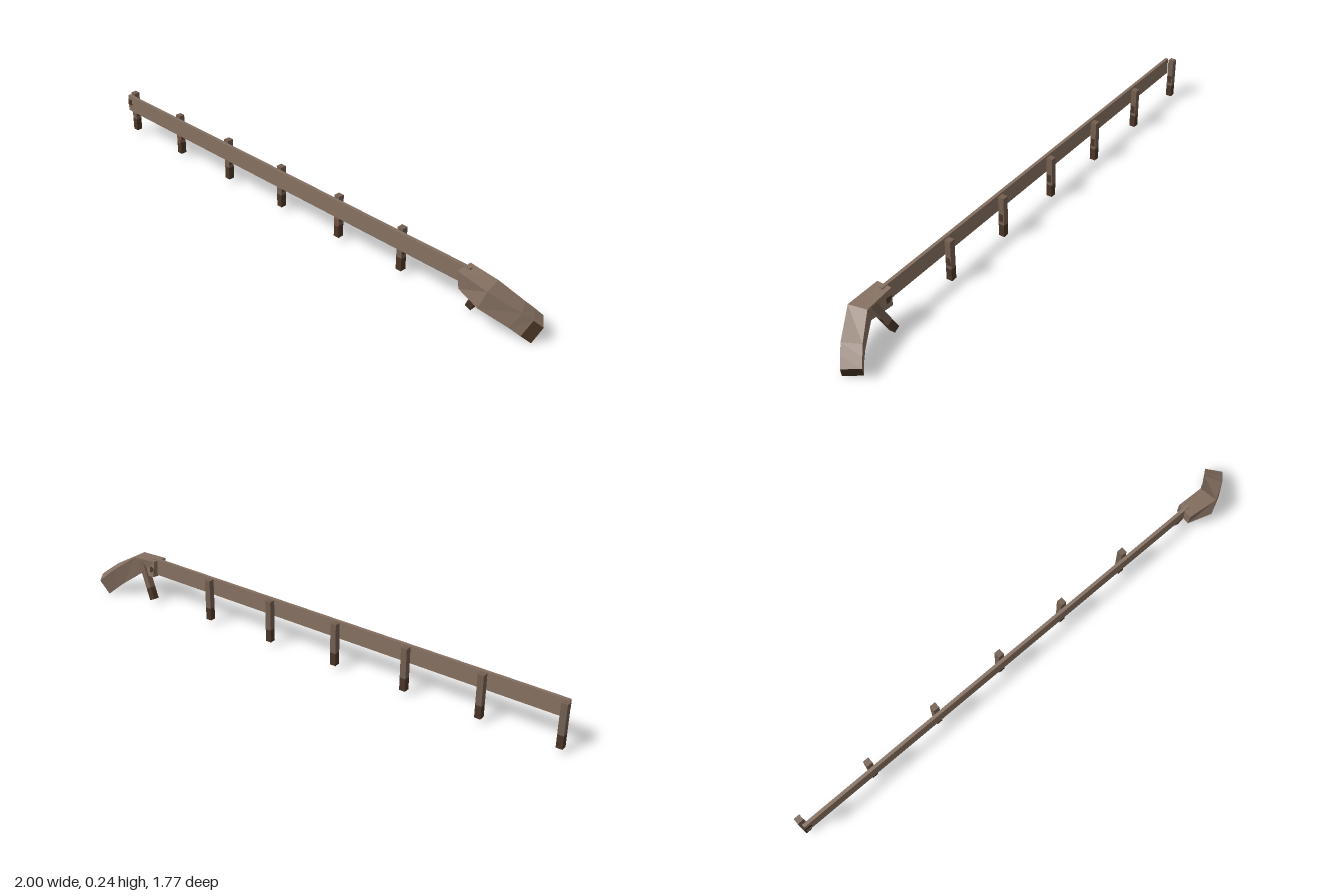
import * as THREE from 'three';

const steel = new THREE.MeshStandardMaterial({ color: 0x857061 });
steel.name = 'weathered steel';
const postSteel = new THREE.MeshStandardMaterial({ color: 0x735e50 });
postSteel.name = 'post steel';
const rust = new THREE.MeshStandardMaterial({ color: 0x4a3526 });
rust.name = 'dark rust';
const redRust = new THREE.MeshStandardMaterial({ color: 0x7a4a38 });
redRust.name = 'red rust';

const YAW = -Math.atan2(0.674, 0.739); // the fence runs diagonally

function box(name, w, h, d, material, x, y, z, parent) {
  const mesh = new THREE.Mesh(new THREE.BoxGeometry(w, h, d), material);
  mesh.name = name;
  mesh.position.set(x, y, z);
  parent.add(mesh);
  return mesh;
}

// Square post with a rusted foot, origin at its base
function makePost(name, height, w, redPatch) {
  const post = new THREE.Group();
  post.name = name;
  const foot = height * 0.3;
  box('postShaft', w, height - foot, w, postSteel, 0, (height + foot) / 2, 0, post);
  box('postFoot', w, foot, w, rust, 0, foot / 2, 0, post);
  box('rustPatch', 0.004, 0.04, w * 0.7, rust, w / 2, height * 0.48, 0, post);
  if (redPatch) box('redRustPatch', w * 0.6, 0.035, 0.004, redRust, 0, height * 0.35, w / 2, post);
  return post;
}

// Bent box beam through rings of [centre, up, side]; each side can have its own material
function bentBeam(rings, materialAt) {
  const corners = rings.map(([c, u, s]) =>
    [[1, -1], [1, 1], [-1, 1], [-1, -1]].map(([a, b]) =>
      new THREE.Vector3(...c)
        .addScaledVector(new THREE.Vector3(...u), a)
        .addScaledVector(new THREE.Vector3(...s), b)));
  const points = [];
  const geometry = new THREE.BufferGeometry();
  const quad = (a, b, c, d, material) => {
    geometry.addGroup(points.length, 6, material);
    points.push(a, b, c, a, c, d);
  };
  for (let i = 0; i < corners.length - 1; i++) {
    for (let k = 0; k < 4; k++) {
      const n = (k + 1) % 4;
      quad(corners[i][k], corners[i + 1][k], corners[i + 1][n], corners[i][n], materialAt(i, k));
    }
  }
  const first = corners[0], last = corners[corners.length - 1];
  quad(first[0], first[1], first[2], first[3], 0);
  quad(last[0], last[3], last[2], last[1], 1);
  geometry.setFromPoints(points);
  geometry.computeVertexNormals();
  return new THREE.Mesh(geometry, [steel, rust]);
}

export function createModel() {
  const model = new THREE.Group();
  model.name = 'guardrail';

  // Long straight rail
  const rail = new THREE.Group();
  rail.name = 'rail';
  rail.position.set(-0.147, 0.193, -0.068);
  rail.rotation.y = YAW;
  box('railBeam', 2.3, 0.086, 0.016, steel, 0, 0, 0, rail);
  box('railEndRust', 0.03, 0.03, 0.004, rust, -1.135, 0.007, 0.008, rail);
  model.add(rail);

  // Upright posts behind the rail
  for (let i = 0; i < 6; i++) {
    const post = makePost('post', 0.213, 0.03, i === 1 || i === 4);
    post.position.set(-0.97 + i * 0.28, 0.026, -0.867 + i * 0.256);
    post.rotation.y = YAW;
    model.add(post);
  }

  // Leaning post under the bent end
  const foot = new THREE.Vector3(0.715, 0.023, 0.668);
  const lean = new THREE.Vector3(0.766, 0.21, 0.748).sub(foot);
  const tilted = makePost('leaningPost', lean.length(), 0.032, false);
  tilted.position.copy(foot);
  tilted.quaternion
    .setFromUnitVectors(new THREE.Vector3(0, 1, 0), lean.clone().normalize())
    .multiply(new THREE.Quaternion().setFromAxisAngle(new THREE.Vector3(0, 1, 0), YAW));
  model.add(tilted);

  // Buckled end section drooping to the ground
  const end = bentBeam([
    [[0.680, 0.187, 0.692], [-0.005, 0.043, 0], [0.028, 0.003, -0.028]],
    [[0.768, 0.172, 0.797], [0.016, 0.043, 0.004], [0.025, 0.003, -0.039]],
    [[0.886, 0.102, 0.829], [0.023, 0.038, 0.002], [0.010, 0, -0.043]],
    [[0.930, 0.071, 0.835], [0.022, 0.039, 0], [0.007, 0, -0.043]],
    [[0.970, 0.041, 0.838], [0.021, 0.039, 0], [0.004, 0, -0.043]],
  ], (i, k) => (i === 3 && k >= 2 ? 1 : 0));
  end.name = 'bentEnd';
  model.add(end);

  // Rust spot where the bent end meets the rail
  const spot = box('jointRust', 0.03, 0.03, 0.004, rust, 0.712, 0.183, 0.667, model);
  spot.position.set(0.717, 0.183, 0.677);
  spot.rotation.y = YAW - 0.12;

  return model;
}
